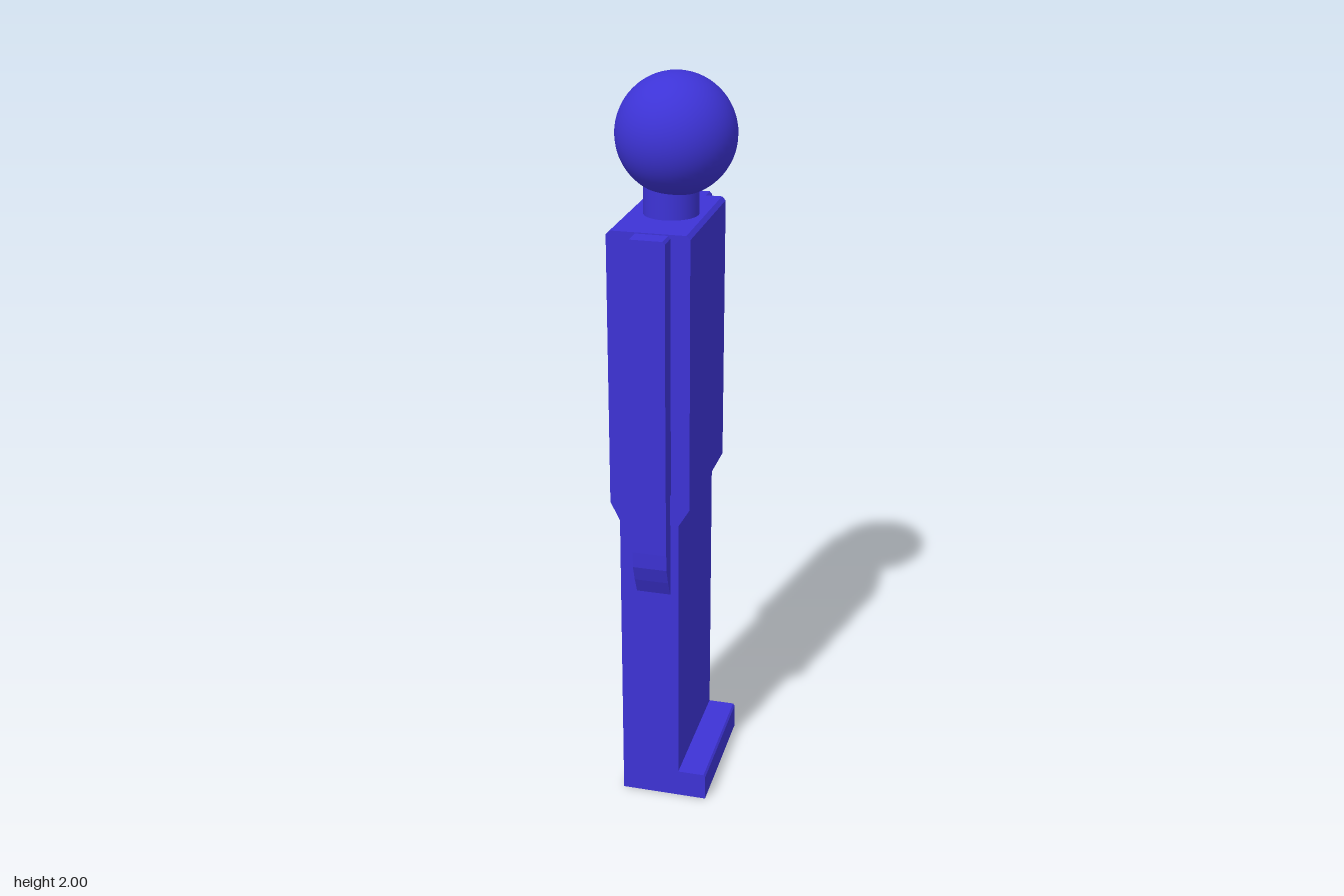
import * as THREE from 'three';

const material = new THREE.MeshStandardMaterial({ color: 0x3d33d6 });

function add(parent, name, geometry, x = 0, y = 0, z = 0) {
  const mesh = new THREE.Mesh(geometry, material);
  mesh.name = name;
  mesh.position.set(x, y, z);
  parent.add(mesh);
  return mesh;
}

// Extrudes an outline evenly about the plane of its drawing
function slab(points, depth) {
  const shape = new THREE.Shape(points.map(([x, y]) => new THREE.Vector2(x, y)));
  return new THREE.ExtrudeGeometry(shape, { depth, bevelEnabled: false }).translate(0, 0, -depth / 2);
}

export function createModel() {
  const figure = new THREE.Group();
  figure.name = 'figure';

  // Head and neck
  add(figure, 'head', new THREE.SphereGeometry(0.155, 48, 32), 0, 1.845, 0);
  add(figure, 'neck', new THREE.CylinderGeometry(0.072, 0.072, 0.14, 32), -0.013, 1.69, 0);

  // Torso with bevelled shoulders and a tapered hem
  add(figure, 'torso', slab([
    [-0.105, 0.85], [0.055, 0.85], [0.085, 0.9], [0.085, 1.63],
    [0.075, 1.64], [-0.12, 1.64], [-0.13, 1.63], [-0.13, 0.9],
  ], 0.384));

  // Joined legs and the foot pointing forward along +x
  add(figure, 'legs', new THREE.BoxGeometry(0.16, 0.87, 0.38), -0.025, 0.435, 0);
  add(figure, 'foot', slab([
    [0.05, 0], [0.133, 0], [0.133, 0.072], [0.128, 0.078], [0.05, 0.078],
  ], 0.38));

  // Arms and hands, mirrored across the body
  for (const side of [1, -1]) {
    const arm = new THREE.Group();
    arm.name = side > 0 ? 'frontArm' : 'backArm';
    if (side < 0) arm.rotation.y = Math.PI;
    arm.position.x = -0.013;
    figure.add(arm);

    add(arm, 'sleeve', slab([
      [-0.048, 0.94], [0.048, 0.94], [0.048, 1.63],
      [0.042, 1.637], [-0.042, 1.637], [-0.048, 1.63],
    ], 0.066), 0, 0, 0.213);

    // Hand outline lies in the z-y plane and curves in toward the leg
    const hand = slab([
      [-0.18, 0.645], [-0.194, 0.645], [-0.215, 0.69], [-0.231, 0.735],
      [-0.233, 0.78], [-0.233, 0.95], [-0.18, 0.95],
    ].reverse(), 0.092);
    hand.rotateY(Math.PI / 2);
    add(arm, 'hand', hand);
  }
  return figure;
}
